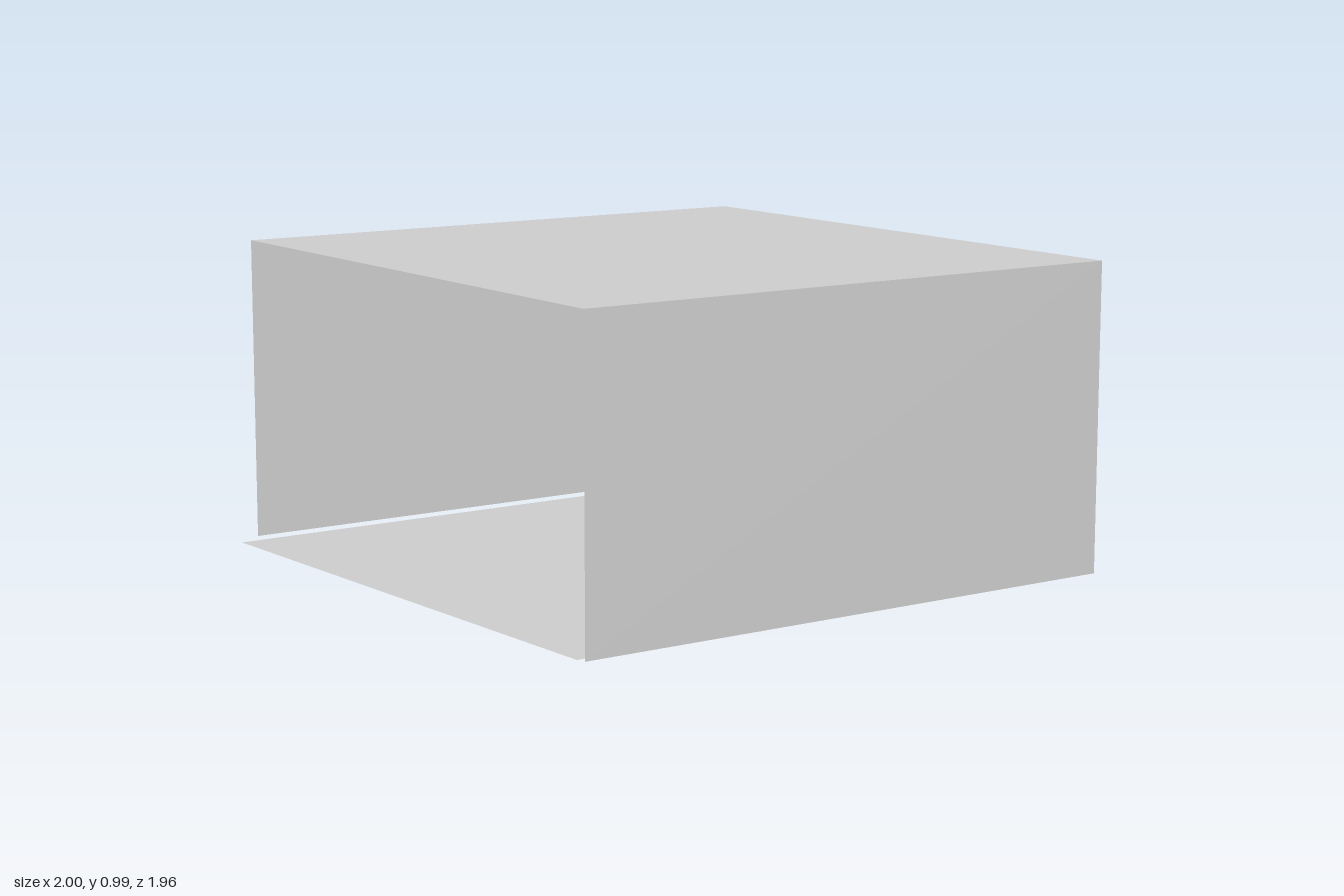
import * as THREE from 'three';

const solid = new THREE.MeshStandardMaterial({ color: 0xcccccc, flatShading: true });
const sheet = new THREE.MeshStandardMaterial({ color: 0xcccccc, flatShading: true, side: THREE.DoubleSide });

// Upside-down U in the z/y plane: legs standing on y = base, open at the bottom
function archShape(outerZ, outerY, innerZ, innerY, base) {
  return new THREE.Shape([
    [-outerZ, base], [-outerZ, outerY], [outerZ, outerY], [outerZ, base],
    [innerZ, base], [innerZ, innerY], [-innerZ, innerY], [-innerZ, base],
  ].map(([z, y]) => new THREE.Vector2(z, y)));
}

export function createModel() {
  const model = new THREE.Group();
  const add = (name, geometry, material) => {
    const mesh = new THREE.Mesh(geometry, material);
    mesh.name = name;
    model.add(mesh);
    return mesh;
  };

  // Thin outer shell, open at the -x end and underneath
  const x0 = -0.92, x1 = 0.97, half = 0.982, top = 0.985, base = 0.007;
  const midX = (x0 + x1) / 2, length = x1 - x0;
  const roof = add('roof', new THREE.PlaneGeometry(length, half * 2), sheet);
  roof.rotation.x = -Math.PI / 2;
  roof.position.set(midX, top, 0);
  for (const side of [1, -1]) {
    const wall = add(side > 0 ? 'frontWall' : 'backWall', new THREE.PlaneGeometry(length, top - base), sheet);
    wall.rotation.y = side > 0 ? 0 : Math.PI;
    wall.position.set(midX, (top + base) / 2, side * half);
  }

  // Narrow rim closing the gap between shell and door frame
  const rim = add('rim', new THREE.ShapeGeometry(archShape(half, top, 0.935, 0.935, base)), sheet);
  rim.rotation.y = Math.PI / 2;
  rim.position.x = x1;

  // Door frame with its opening reaching the ground
  const frameGeometry = new THREE.ExtrudeGeometry(archShape(0.94, 0.942, 0.845, 0.78, 0), { depth: 0.06, bevelEnabled: false });
  const frame = add('doorFrame', frameGeometry, solid);
  frame.rotation.y = Math.PI / 2;
  frame.position.x = 0.94;

  // Floor sheet with a slanted rear edge
  const floorShape = new THREE.Shape([
    [-1, 0.94], [0.97, 0.94], [0.97, -0.94], [-0.92, -0.94],
  ].map(([x, y]) => new THREE.Vector2(x, y)));
  const floor = add('floor', new THREE.ShapeGeometry(floorShape), sheet);
  floor.rotation.x = -Math.PI / 2;
  floor.position.y = 0.003;

  // Hanging curtain: folds deepen toward the hem
  const hem = [
    [-0.9, 0.93], [-0.7, 0.935], [-0.58, 0.94], [-0.46, 0.895], [-0.2, 0.925], [-0.02, 0.885],
    [0.2, 0.91], [0.42, 0.905], [0.64, 0.925], [0.9, 0.93],
  ];
  const rows = [0.06, 0.16, 0.28, 0.36, 0.41, 0.6, 0.85];
  const positions = [], indices = [];
  rows.forEach((y, r) => {
    const fold = 1 - 0.9 * Math.pow(y / 0.85, 1.5);
    hem.forEach(([z, x], c) => {
      positions.push(0.93 + (x - 0.93) * fold, y, z);
      if (r && c) {
        const d = r * hem.length + c, b = d - hem.length;
        indices.push(b, b - 1, d - 1, b, d - 1, d);
      }
    });
  });
  const cloth = new THREE.BufferGeometry();
  cloth.setAttribute('position', new THREE.Float32BufferAttribute(positions, 3));
  cloth.setIndex(indices);
  cloth.computeVertexNormals();
  add('curtain', cloth, sheet);

  return model;
}
